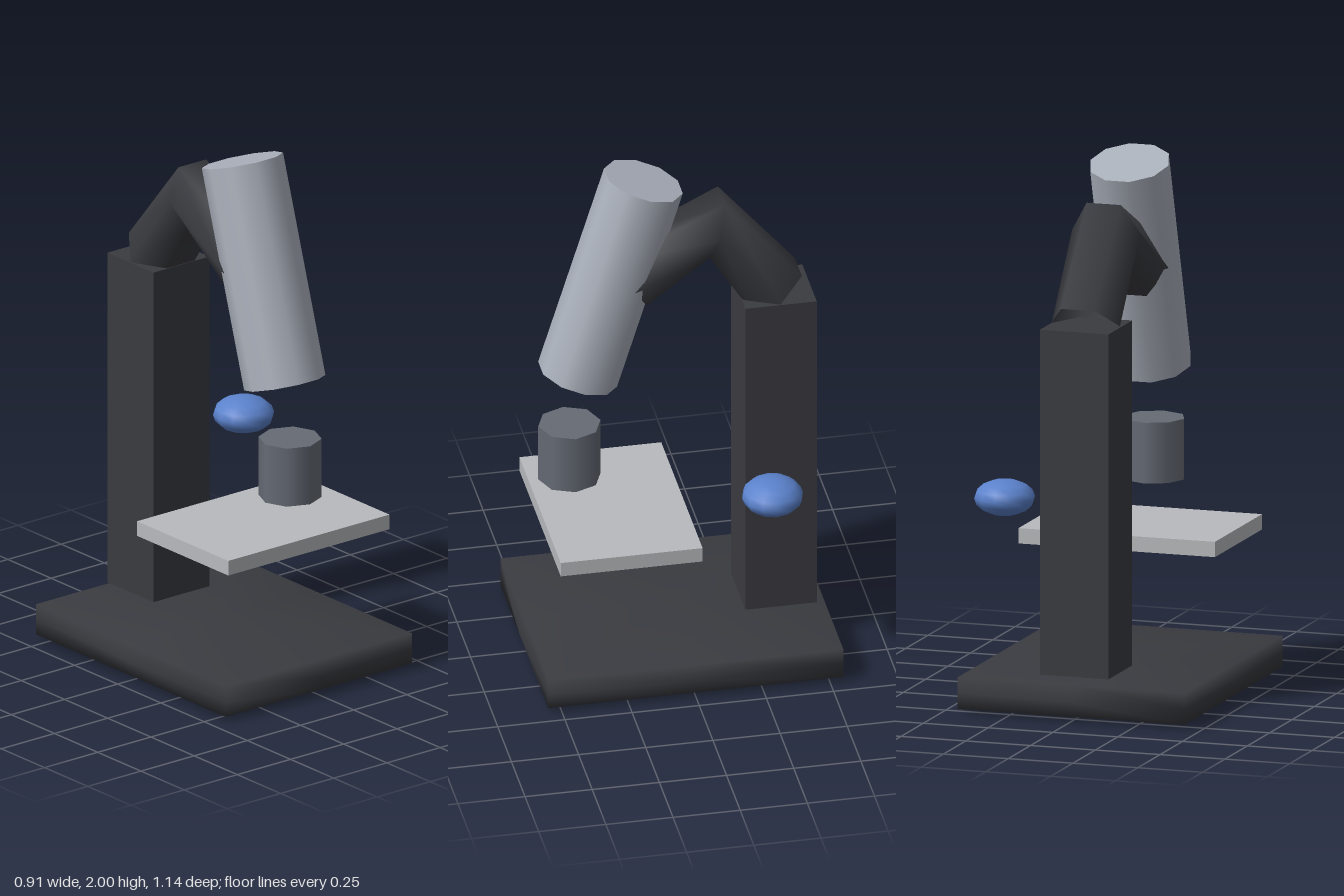
import * as THREE from 'three';
import { mergeVertices } from 'three/addons/utils/BufferGeometryUtils.js';

const paint = (color, side = THREE.FrontSide) => new THREE.MeshStandardMaterial({ color, side });

// Pillow-shaped slab: a coarse sphere squared off, faces bulging to their centres
function pillow(hx, hy, hz) {
  const geo = new THREE.SphereGeometry(1, 8, 4);
  const p = geo.attributes.position;
  const sgn = (v) => (Math.abs(v) < 0.01 ? 0 : Math.sign(v));
  for (let i = 0; i < p.count; i++) {
    const x = sgn(p.getX(i)), y = sgn(p.getY(i)), z = sgn(p.getZ(i));
    p.setXYZ(i,
      x * hx * (y || z ? 0.967 : 1),
      y * hy * (x || z ? 0.76 : 1),
      z * hz * (x || y ? 0.967 : 1));
  }
  geo.deleteAttribute('uv');
  geo.deleteAttribute('normal');
  const merged = mergeVertices(geo);
  merged.computeVertexNormals();
  return merged;
}

export function createModel() {
  const group = new THREE.Group();
  const dark = paint(0x3a3b40);
  const add = (name, geo, mat, x, y, z) => {
    const mesh = new THREE.Mesh(geo, mat);
    mesh.name = name;
    mesh.position.set(x, y, z);
    group.add(mesh);
    return mesh;
  };

  // Foot and upright
  add('base', pillow(0.453, 0.077, 0.568), dark, 0, 0.078, 0);
  add('column', new THREE.BoxGeometry(0.264, 1.285, 0.266), dark, 0, 0.803, -0.379);

  // Bent six-sided arm, open at both ends
  const bend = new THREE.CatmullRomCurve3([
    new THREE.Vector3(0, 1.45, -0.38),
    new THREE.Vector3(0, 1.75, -0.15),
    new THREE.Vector3(0, 1.56, 0.165),
  ]);
  add('arm', new THREE.TubeGeometry(bend, 2, 0.131, 6), paint(0x3a3b40, THREE.DoubleSide), 0, 0, 0);

  // Viewing tube, leaning back at the top
  const tube = add('viewingTube',
    new THREE.CylinderGeometry(0.151, 0.151, 0.832, 10, 1, false, Math.PI / 2),
    paint(0xabb1bc), 0, 1.558, 0.229);
  tube.rotation.x = -Math.atan2(0.245, 0.795);

  // Lens and specimen stage
  add('objectiveLens', new THREE.CylinderGeometry(0.116, 0.116, 0.226, 8), paint(0x666b75), 0, 0.842, 0.382);
  add('stage', new THREE.BoxGeometry(0.758, 0.057, 0.528), paint(0xb8babd), 0, 0.568, 0.227);

  // Flattened focus knob beside the column
  const knob = add('focusKnob', new THREE.SphereGeometry(0.113, 12, 8), paint(0x5b82cc), 0.34, 0.767, -0.305);
  knob.scale.y = 0.59;

  return group;
}
